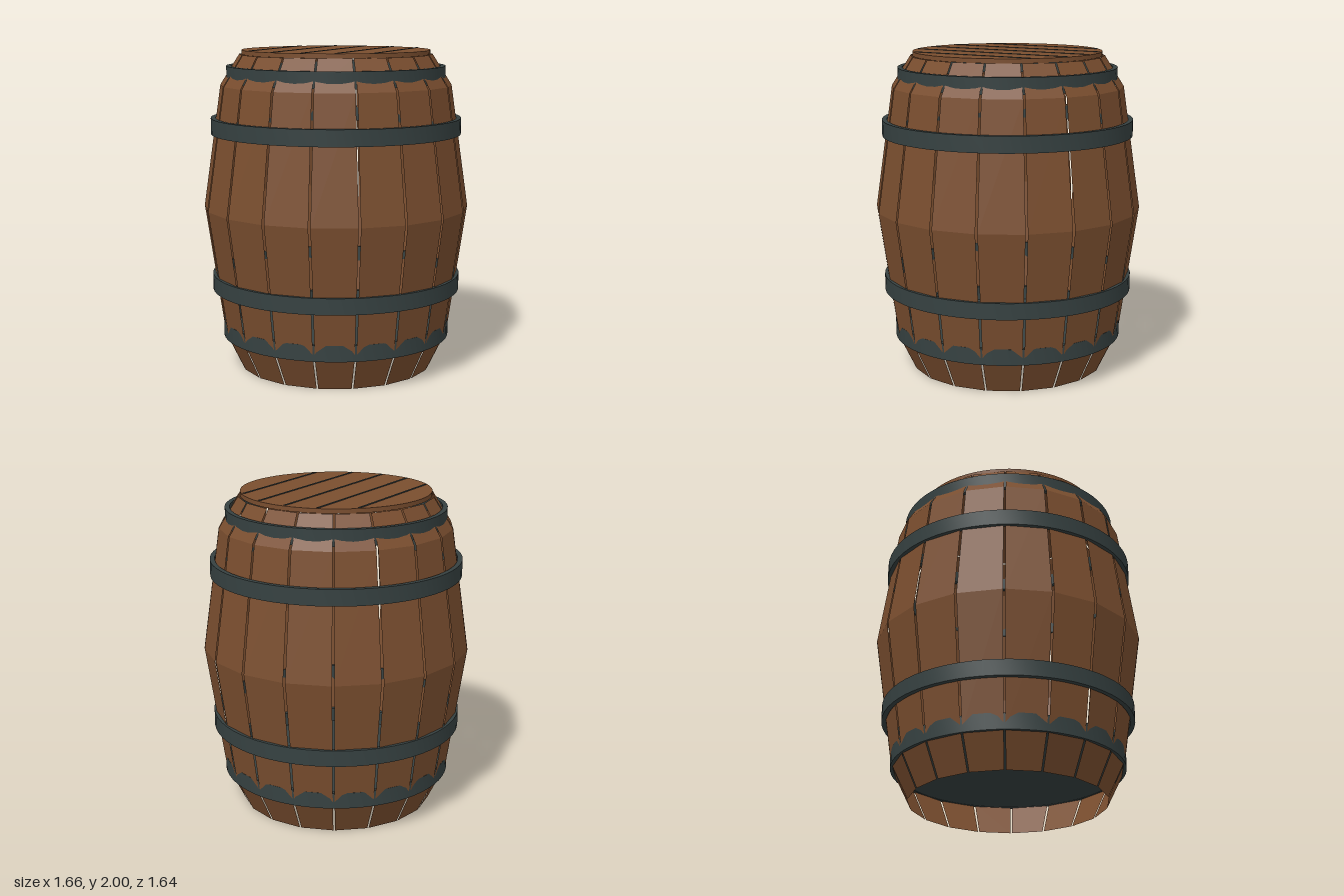
import * as THREE from 'three';
import { toCreasedNormals } from 'three/addons/utils/BufferGeometryUtils.js';

const STAVES = 18;
// Barrel outline: [radius, height]
const PROFILE = [[0.605, 0], [0.712, 0.22], [0.83, 1.02], [0.72, 1.78], [0.6, 1.97]];

// One thin flat-faced plank bent along the barrel outline, centred on +z
function staveGeometry() {
  const half = Math.PI / STAVES - 0.008; // leaves a narrow open seam
  const corner = ([r, y], side) => [side * r * Math.sin(half), y, r * Math.cos(half)];
  const pos = [];
  for (let i = 0; i < PROFILE.length - 1; i++) {
    const a = corner(PROFILE[i], -1), b = corner(PROFILE[i], 1);
    const c = corner(PROFILE[i + 1], 1), d = corner(PROFILE[i + 1], -1);
    pos.push(...a, ...b, ...c, ...a, ...c, ...d);
  }
  const g = new THREE.BufferGeometry();
  g.setAttribute('position', new THREE.Float32BufferAttribute(pos, 3));
  g.computeVertexNormals();
  return g;
}

// Flat band with a rectangular section
function hoopGeometry(outer, bottom, height = 0.1, thick = 0.03) {
  const inner = outer - thick, top = bottom + height;
  const section = [[inner, bottom], [outer, bottom], [outer, top], [inner, top], [inner, bottom]];
  const lathe = new THREE.LatheGeometry(section.map(([r, y]) => new THREE.Vector2(r, y)), 64);
  return toCreasedNormals(lathe, 0.6);
}

export function createModel() {
  const model = new THREE.Group();
  model.name = 'barrel';
  const wood = new THREE.MeshStandardMaterial({ color: 0x7a4e2f, side: THREE.DoubleSide });
  wood.name = 'wood';
  const iron = new THREE.MeshStandardMaterial({ color: 0x364141 });
  iron.name = 'darkIron';

  const add = (name, geometry, material, parent = model) => {
    const mesh = new THREE.Mesh(geometry, material);
    mesh.name = name;
    parent.add(mesh);
    return mesh;
  };

  // Ring of staves
  const staves = new THREE.Group();
  staves.name = 'staves';
  model.add(staves);
  const stave = staveGeometry();
  for (let i = 0; i < STAVES; i++) {
    add('stave', stave, wood, staves).rotation.y = (i / STAVES) * Math.PI * 2;
  }

  // Iron hoops
  add('bottomHoop', hoopGeometry(0.716, 0.2), iron);
  add('lowerHoop', hoopGeometry(0.78, 0.5), iron);
  add('upperHoop', hoopGeometry(0.78, 1.48), iron);
  add('topHoop', hoopGeometry(0.68, 1.8), iron);

  // Lid, with thin dark seams between its boards
  add('lid', new THREE.CylinderGeometry(0.585, 0.585, 0.027, 64), wood).position.y = 1.9835;
  for (const x of [-0.4, -0.2, 0, 0.2, 0.4]) {
    const length = 2 * Math.sqrt(0.572 ** 2 - x * x);
    add('lidSeam', new THREE.BoxGeometry(0.014, 0.006, length), iron).position.set(x, 1.997, 0);
  }

  // Recessed barrel floor
  add('floor', new THREE.CylinderGeometry(0.686, 0.686, 0.008, 64), iron).position.y = 0.206;

  return model;
}
